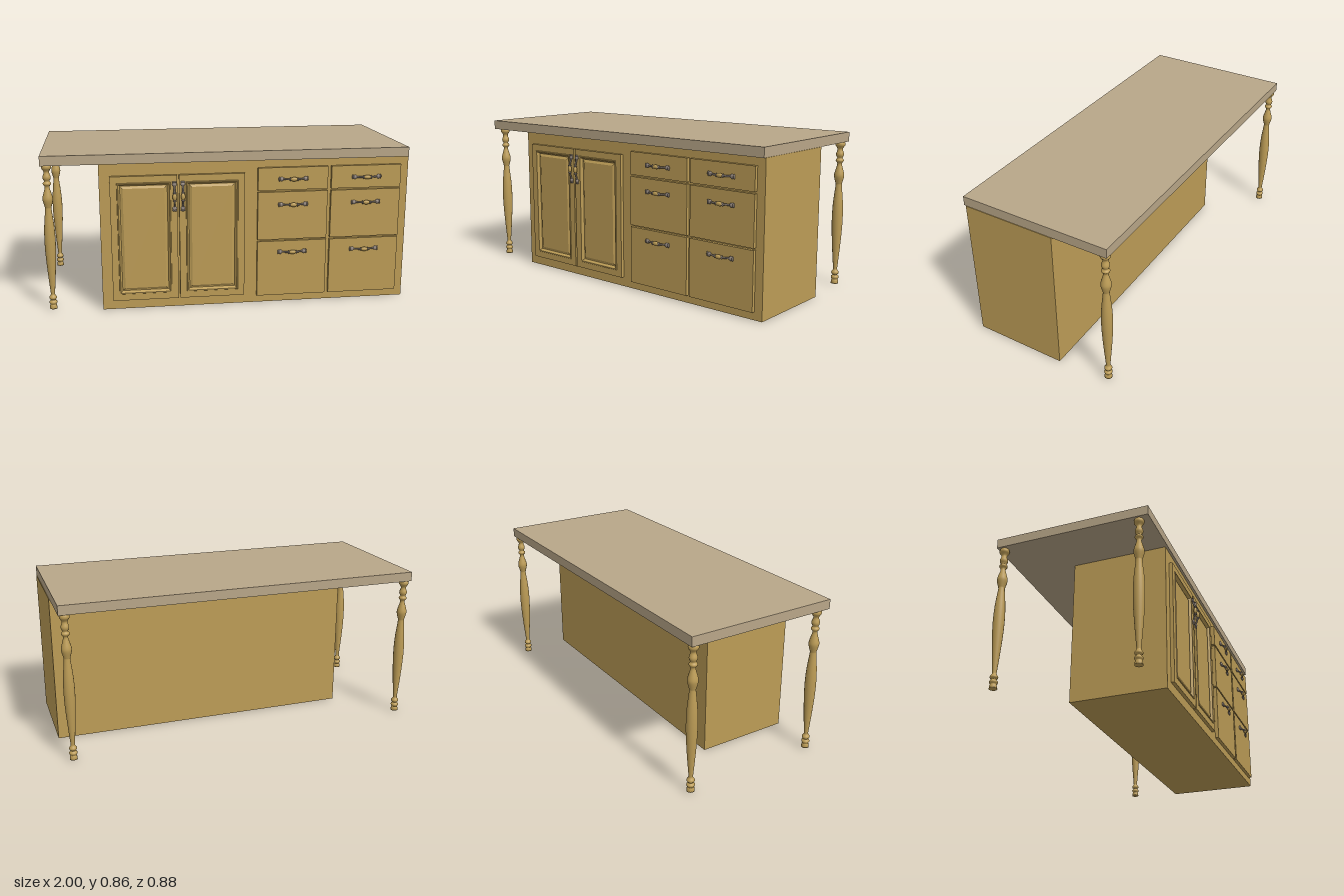
import * as THREE from 'three';

const wood = new THREE.MeshStandardMaterial({ color: 0xbc9c56 });
wood.name = 'golden wood';
const stone = new THREE.MeshStandardMaterial({ color: 0xb8a688 });
stone.name = 'tan worktop';
const metal = new THREE.MeshStandardMaterial({ color: 0x978a80 });
metal.name = 'grey metal';

function add(parent, name, geometry, material, x = 0, y = 0, z = 0) {
  const mesh = new THREE.Mesh(geometry, material);
  mesh.name = name;
  mesh.position.set(x, y, z);
  parent.add(mesh);
  return mesh;
}

// Box given by its limits on each axis
function boxBetween(parent, name, material, [x0, x1], [y0, y1], [z0, z1]) {
  return add(parent, name, new THREE.BoxGeometry(x1 - x0, y1 - y0, z1 - z0), material,
    (x0 + x1) / 2, (y0 + y1) / 2, (z0 + z1) / 2);
}

// Rectangular panel made of nested rectangles; steps are [inset, depth]
function panelGeometry(w, h, steps) {
  const pos = [];
  const loops = steps.map(([i, z]) => {
    const a = w / 2 - i, b = h / 2 - i;
    return [[-a, -b, z], [a, -b, z], [a, b, z], [-a, b, z]];
  });
  const quad = (a, b, c, d) => pos.push(...a, ...b, ...c, ...a, ...c, ...d);
  for (let k = 0; k < loops.length - 1; k++) {
    for (let j = 0; j < 4; j++) {
      const n = (j + 1) % 4;
      quad(loops[k][j], loops[k][n], loops[k + 1][n], loops[k + 1][j]);
    }
  }
  quad(...loops[loops.length - 1]);
  const g = new THREE.BufferGeometry();
  g.setAttribute('position', new THREE.Float32BufferAttribute(pos, 3));
  g.computeVertexNormals();
  return g;
}

// Turned leg: [radius, height] from foot to top
function legGeometry() {
  const profile = [
    [0.021, 0.006], [0.019, 0.022], [0.016, 0.03], [0.021, 0.038], [0.021, 0.046], [0.013, 0.056],
    [0.020, 0.064], [0.020, 0.073], [0.012, 0.085], [0.012, 0.1], [0.018, 0.17], [0.024, 0.25],
    [0.0285, 0.33], [0.0295, 0.405], [0.026, 0.48], [0.017, 0.565], [0.018, 0.58], [0.026, 0.61],
    [0.027, 0.63], [0.019, 0.66], [0.013, 0.682], [0.014, 0.693], [0.021, 0.702], [0.021, 0.71],
    [0.014, 0.719], [0.020, 0.732], [0.021, 0.745], [0.014, 0.766], [0.018, 0.778], [0.026, 0.79],
    [0.026, 0.802], [0.021, 0.811],
  ].map(([r, y]) => new THREE.Vector2(r, y));
  const curve = new THREE.SplineCurve(profile).getPoints(90);
  return new THREE.LatheGeometry([new THREE.Vector2(0, 0.006), ...curve], 24);
}

// Bowed pull lying along x, with its back on z = 0
function makeHandle(name) {
  const handle = new THREE.Group();
  handle.name = name;
  const ball = new THREE.SphereGeometry(1, 14, 10);
  add(handle, 'grip', ball, wood, 0, 0, 0.018).scale.set(0.021, 0.012, 0.010);
  for (const s of [-1, 1]) {
    const path = new THREE.CatmullRomCurve3([
      [0.072, 0.005], [0.056, 0.006], [0.038, 0.013], [0.018, 0.019],
    ].map(([x, z]) => new THREE.Vector3(s * x, 0, z)));
    add(handle, 'arm', new THREE.TubeGeometry(path, 10, 0.005, 8), metal);
    add(handle, 'collar', ball, metal, s * 0.021, 0, 0.018).scale.set(0.004, 0.010, 0.009);
    add(handle, 'foot', ball, metal, s * 0.066, 0, 0.005).scale.set(0.012, 0.012, 0.007);
    add(handle, 'tip', ball, metal, s * 0.078, 0, 0.005).scale.set(0.005, 0.013, 0.006);
  }
  return handle;
}

export function createModel() {
  const model = new THREE.Group();
  model.name = 'kitchenIsland';

  boxBetween(model, 'worktop', stone, [-1, 0.995], [0.811, 0.863], [-0.443, 0.403]);
  boxBetween(model, 'cabinet', wood, [-0.7, 0.998], [0, 0.811], [-0.132, 0.39]);

  // Legs under the overhanging corners
  const leg = legGeometry();
  for (const [x, z] of [[-0.97, 0.345], [-0.97, -0.413], [0.96, -0.413]]) {
    add(model, 'leg', leg, wood, x, 0, z);
  }

  const back = 0.39, thick = 0.019;

  // Doors with a grooved centre panel
  const doorSteps = [
    [0, 0], [0, thick], [0.036, thick], [0.038, thick + 0.003], [0.043, thick + 0.003],
    [0.053, 0.006], [0.057, 0.006], [0.068, 0.013],
  ];
  for (const [x0, x1, hx] of [[-0.644, -0.286, -0.302], [-0.276, 0.08, -0.257]]) {
    add(model, 'door', panelGeometry(x1 - x0, 0.692, doorSteps), wood, (x0 + x1) / 2, 0.399, back);
    const handle = makeHandle('doorHandle');
    handle.rotation.z = Math.PI / 2;
    handle.position.set(hx, 0.63, back + thick);
    model.add(handle);
  }

  // Two columns of three drawers
  for (const [x0, x1] of [[0.152, 0.54], [0.56, 0.952]]) {
    for (const [y0, y1, hy] of [[0.645, 0.77, 0.707], [0.367, 0.635, 0.565], [0.043, 0.357, 0.296]]) {
      const cx = (x0 + x1) / 2;
      add(model, 'drawer', panelGeometry(x1 - x0, y1 - y0, [[0, 0], [0, thick]]), wood, cx, (y0 + y1) / 2, back);
      const handle = makeHandle('drawerHandle');
      handle.position.set(cx, hy, back + thick);
      model.add(handle);
    }
  }
  return model;
}
